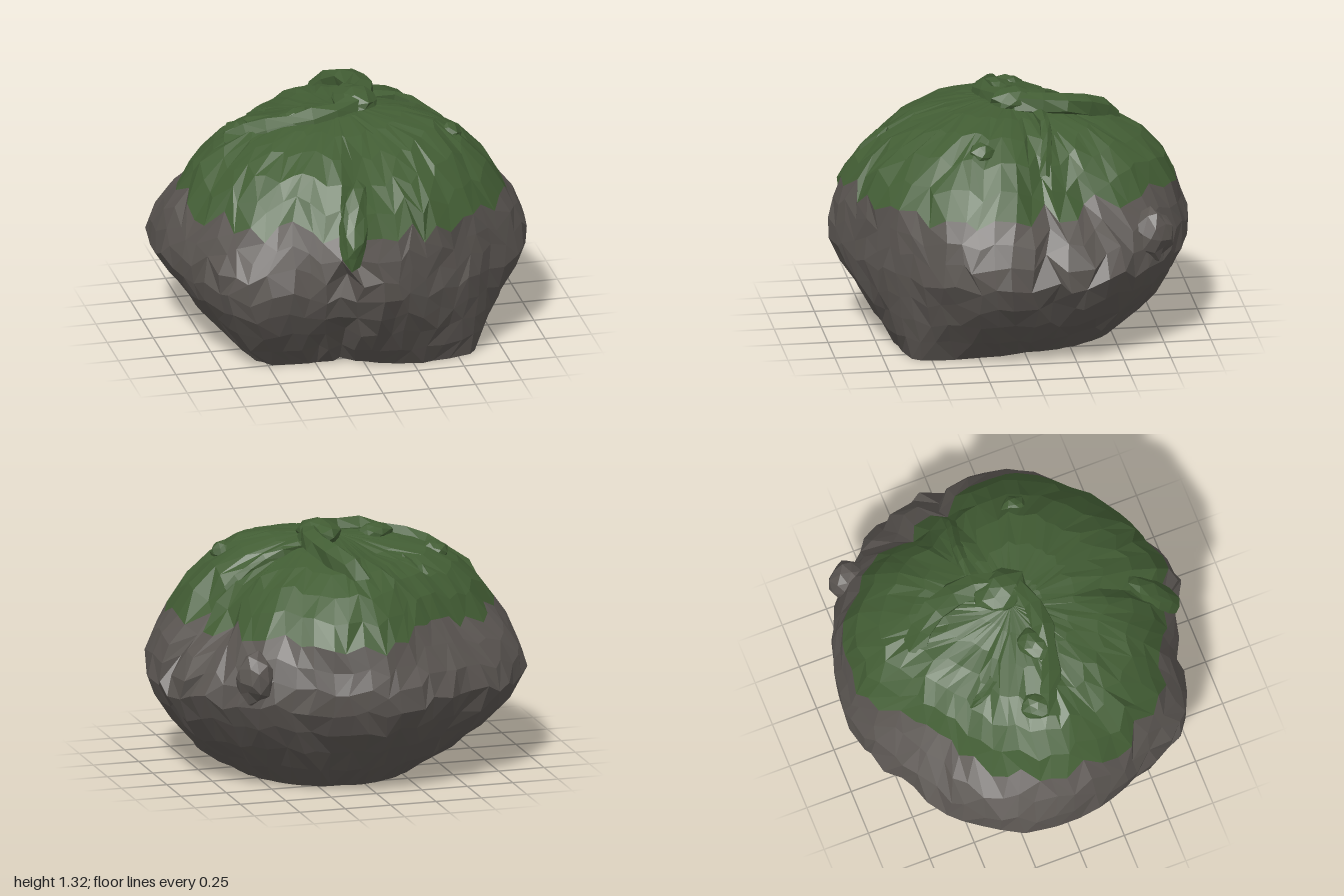
import * as THREE from 'three';

const SEG = 60, MOSS_ROW = 7, ROWS = 13;

// Radii every 22.5 degrees, turning from +x towards +z: foot, widest line, shoulder
const OUTLINES = [
  [0.56, 0.64, 0.85, 0.71, 0.55, 0.55, 0.71, 0.63, 0.52, 0.45, 0.45, 0.49, 0.55, 0.57, 0.57, 0.56],
  [1.02, 1.02, 0.91, 0.9, 0.98, 0.87, 1.03, 0.98, 1.0, 1.02, 0.98, 0.94, 0.95, 0.95, 0.98, 1.0],
  [0.8, 0.87, 0.87, 0.88, 0.9, 0.8, 0.84, 0.85, 0.88, 0.78, 0.7, 0.74, 0.87, 0.88, 0.84, 0.72],
];
// Side profile: shares of the three outlines, then height
const PROFILE = [[1, 0, 0, 0], [0.52, 0.48, 0, 0.17], [0.19, 0.81, 0, 0.35], [0, 1, 0, 0.52],
  [0, 0.6, 0.4, 0.69], [0, 0, 1, 0.84], [0, 0, 0.89, 0.99], [0, 0, 0.71, 1.11],
  [0, 0, 0.47, 1.185], [0, 0, 0.22, 1.23], [0, 0, 0, 1.24]];
// Cracks: angle, drift per profile step, from, to, depth, half width
const CRACKS = [
  [1.76, -0.01, -1, 8.6, 0.1, 0.07],
  [-0.01, -0.015, 1.5, 8.4, 0.07, 0.06],
  [4.12, 0.0, 0.5, 4, 0.06, 0.07],
  [4.95, 0.02, -1, 2.6, 0.04, 0.06],
];
// Swells and hollows of the cap: x, z, height, radius
const SWELLS = [[0.42, 0.25, 0.05, 0.25], [-0.14, -0.2, -0.05, 0.18]];

const rock = new THREE.MeshStandardMaterial({ color: 0x5a5551, flatShading: true });
const moss = new THREE.MeshStandardMaterial({ color: 0x425d34, flatShading: true });

// Repeatable noise between -1 and 1
function noise(a, b, c = 0) {
  const s = Math.sin(a * 127.1 + b * 311.7 + c * 74.7) * 43758.5453;
  return (s - Math.floor(s)) * 2 - 1;
}

function around(table, angle) {
  const n = table.length;
  const t = (((angle / (Math.PI * 2)) * n) % n + n) % n;
  const i = Math.floor(t) % n;
  return THREE.MathUtils.lerp(table[i], table[(i + 1) % n], t - Math.floor(t));
}

// One corner of the boulder's surface
function surfacePoint(i, row) {
  i %= SEG;
  const angle = ((i + noise(i, row, 3) * 0.3) / SEG) * Math.PI * 2;
  const line = 4.95 + noise(i, 9) * 0.4;
  const u = row <= MOSS_ROW
    ? (line * row) / MOSS_ROW
    : line + ((10 - line) * (row - MOSS_ROW)) / (ROWS - MOSS_ROW);
  const k = Math.min(Math.floor(u), 9);
  const shares = PROFILE[k].map((v, n) => THREE.MathUtils.lerp(v, PROFILE[k + 1][n], u - k));
  let y = shares[3];
  let r = 0;
  OUTLINES.forEach((table, n) => { r += shares[n] * around(table, angle); });

  // Broad bulges, then small chips
  const size = Math.min(1, r * 1.3);
  r += size * (Math.sin(angle * 5 + u * 1.3) * 0.006 + noise(i, row) * 0.011);
  if (row > 0) y += size * noise(i, row, 7) * 0.012;

  for (const [a, drift, from, to, depth, width] of CRACKS) {
    const d = angle - a - drift * u - 0.02 * Math.sin(u * 2.5);
    const off = Math.atan2(Math.sin(d), Math.cos(d)) / width;
    const fade = THREE.MathUtils.clamp(Math.min(u - from, to - u), 0, 1);
    const cut = depth * fade * size * Math.exp(-off * off);
    r -= cut;
    if (u > 5) y -= cut * 0.4;
  }
  const x = Math.cos(angle) * r, z = Math.sin(angle) * r;
  if (row > MOSS_ROW) {
    for (const [sx, sz, height, radius] of SWELLS) {
      y += height * Math.exp(-((x - sx) ** 2 + (z - sz) ** 2) / radius ** 2);
    }
  }
  return [x, y, z];
}

function band(name, from, to, material, closeBase) {
  const pos = [];
  const add = (...pts) => pts.forEach((p) => pos.push(...p));
  for (let i = 0; i < SEG; i++) {
    if (closeBase) add([0, 0, 0], surfacePoint(i, 0), surfacePoint(i + 1, 0));
    for (let row = from; row < to; row++) {
      const a = surfacePoint(i, row), b = surfacePoint(i + 1, row);
      const c = surfacePoint(i, row + 1), d = surfacePoint(i + 1, row + 1);
      if (row === ROWS - 1) add(a, c, b);
      else if (noise(i, row, 5) > 0) add(a, c, b, b, c, d);
      else add(a, c, d, a, d, b);
    }
  }
  const g = new THREE.BufferGeometry();
  g.setAttribute('position', new THREE.Float32BufferAttribute(pos, 3));
  g.computeVertexNormals();
  const mesh = new THREE.Mesh(g, material);
  mesh.name = name;
  return mesh;
}

// Shift each corner a little; corners that touch move together
function roughen(g, amount) {
  const p = g.attributes.position;
  for (let i = 0; i < p.count; i++) {
    const key = [p.getX(i), p.getY(i), p.getZ(i)].map((v) => Math.round(v * 500));
    const n = [0, 1, 2].map((k) => noise(key[0] + k * 17, key[1], key[2]) * amount);
    p.setXYZ(i, p.getX(i) + n[0], p.getY(i) + n[1], p.getZ(i) + n[2]);
  }
  g.computeVertexNormals();
  return g;
}

function lump(name, material, position, scale, rotation) {
  const mesh = new THREE.Mesh(roughen(new THREE.IcosahedronGeometry(1, 1), 0.13), material);
  mesh.position.set(...position);
  mesh.scale.set(...scale);
  mesh.rotation.set(...rotation);
  mesh.name = name;
  return mesh;
}

// Low ridge with ends sunk into the surface
function ridge(name, points, radius, steps) {
  const curve = new THREE.CatmullRomCurve3(points.map((p) => new THREE.Vector3(...p)));
  const g = roughen(new THREE.TubeGeometry(curve, steps, radius, 6), radius * 0.2);
  const mesh = new THREE.Mesh(g, moss);
  mesh.name = name;
  return mesh;
}

export function createModel() {
  const group = new THREE.Group();
  group.name = 'mossyBoulder';

  group.add(band('rockBody', 0, MOSS_ROW, rock, true));
  group.add(band('mossCap', MOSS_ROW, ROWS, moss, false));

  // Curved ridge and slabs on the top
  group.add(ridge('topRidge', [[0.02, 1.08, -0.54], [0.1, 1.19, -0.43], [0.16, 1.225, -0.28],
    [0.15, 1.24, -0.06], [0.02, 1.225, 0.09], [-0.18, 1.2, 0.11], [-0.38, 1.155, 0.07], [-0.58, 1.06, -0.02]], 0.068, 12));
  group.add(ridge('sideRidge', [[0.15, 1.2, -0.12], [0.35, 1.18, -0.14], [0.5, 1.09, -0.12], [0.62, 0.98, -0.1]], 0.035, 6));
  group.add(ridge('backRidge', [[-0.38, 1.01, -0.4], [-0.38, 1.08, -0.32], [-0.32, 1.13, -0.22]], 0.03, 4));
  group.add(lump('topSlab', moss, [0.09, 1.25, -0.02], [0.11, 0.065, 0.15], [0, 0.3, 0]));
  group.add(lump('topSlab', moss, [-0.24, 1.21, 0.04], [0.1, 0.045, 0.08], [0, 0.3, 0]));
  group.add(lump('topSlab', moss, [-0.53, 1.11, -0.06], [0.09, 0.055, 0.08], [0, 0.8, 0]));
  group.add(lump('mossKnob', moss, [0.54, 1.11, 0.23], [0.07, 0.06, 0.07], [0, 0.5, 0]));

  // Mossy tongue in the front crack
  group.add(lump('frontTongue', moss, [-0.1, 0.87, 0.77], [0.08, 0.23, 0.07], [-0.55, 0, -0.2]));

  // Loose stone in the side
  group.add(lump('sideStone', rock, [0.63, 0.65, -0.66], [0.11, 0.14, 0.11], [0, 0.4, 0]));
  return group;
}
